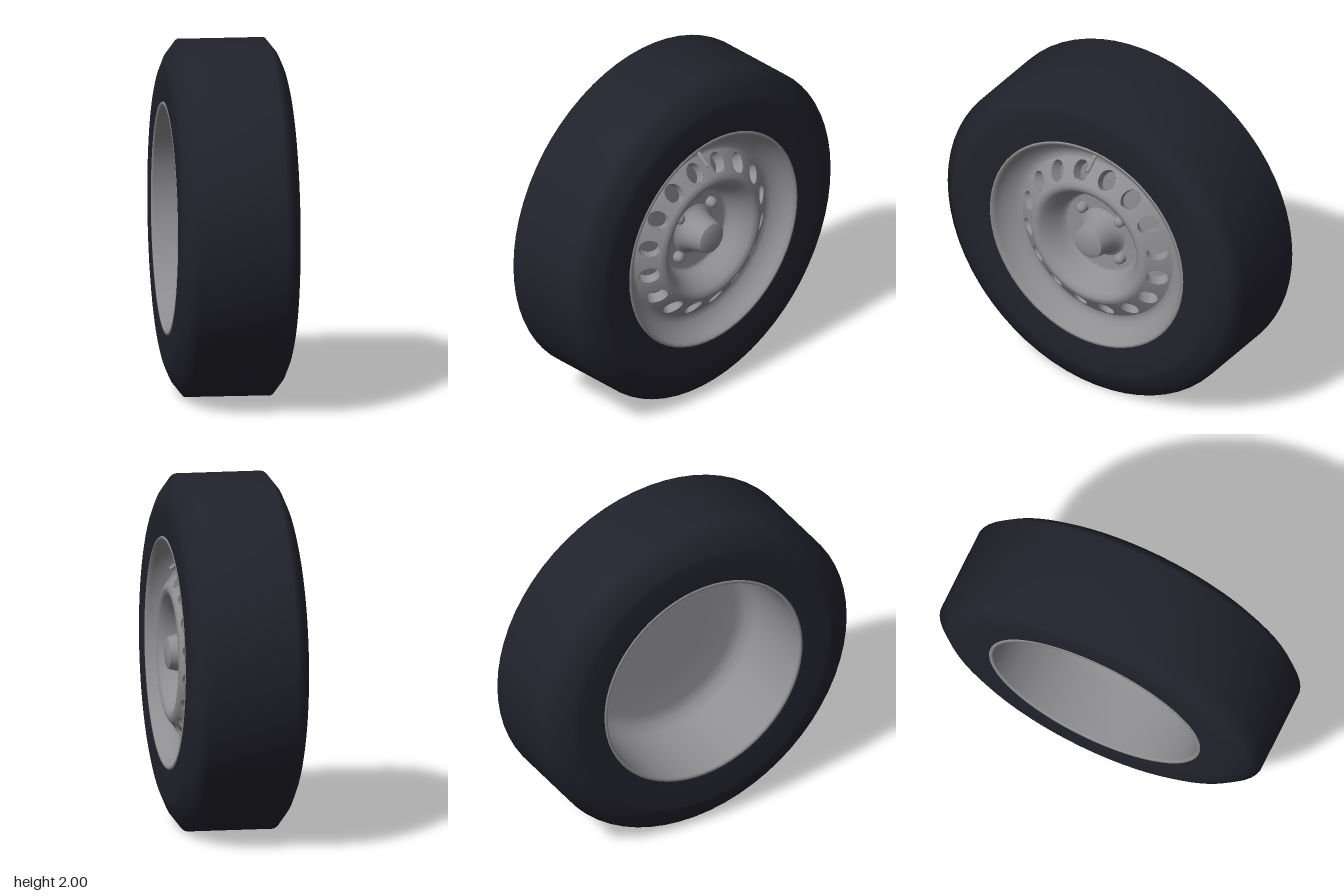
import * as THREE from 'three';

const rubber = new THREE.MeshStandardMaterial({ color: 0x22222d });
rubber.name = 'dark rubber';
const steel = new THREE.MeshStandardMaterial({ color: 0x8f8f92, side: THREE.DoubleSide });
steel.name = 'grey steel';

// Height of the sloped ring that carries the vent holes
const SLOPE = 0.75;
const ringHeight = (r) => 0.30 - (r - 0.40) * SLOPE;
const HOLES = 16, HOLE_RADIUS = 0.05, HOLE_CIRCLE = 0.444;
const holeAngle = (i) => THREE.MathUtils.degToRad(12 + (i * 360) / HOLES);

function add(parent, name, geometry, material) {
  const mesh = new THREE.Mesh(geometry, material);
  mesh.name = name;
  parent.add(mesh);
  return mesh;
}

// Turned profile of [radius, height] points, with its axis along z
function turned(points, segments = 64) {
  const g = new THREE.LatheGeometry(points.map(([r, h]) => new THREE.Vector2(r, h)), segments);
  return g.rotateX(Math.PI / 2);
}

// Flat ring with holes, raised into a cone
function ventRing() {
  const shape = new THREE.Shape().absarc(0, 0, 0.505, 0, Math.PI * 2, false);
  shape.holes.push(new THREE.Path().absarc(0, 0, 0.385, 0, Math.PI * 2, true));
  for (let i = 0; i < HOLES; i++) {
    const a = holeAngle(i);
    shape.holes.push(new THREE.Path().absarc(
      Math.sin(a) * HOLE_CIRCLE, Math.cos(a) * HOLE_CIRCLE, HOLE_RADIUS, 0, Math.PI * 2, true));
  }
  const g = new THREE.ShapeGeometry(shape, 64);
  const p = g.attributes.position, n = g.attributes.normal;
  const len = Math.hypot(1, SLOPE);
  for (let i = 0; i < p.count; i++) {
    const x = p.getX(i), y = p.getY(i), r = Math.hypot(x, y);
    p.setZ(i, ringHeight(r));
    n.setXYZ(i, (SLOPE * x) / r / len, (SLOPE * y) / r / len, 1 / len);
  }
  return g;
}

// Tube sinking from the sloped ring, square to the slope
function holeWall(a) {
  const g = new THREE.CylinderGeometry(HOLE_RADIUS, HOLE_RADIUS * 0.9, 1, 20, 1, true);
  g.rotateX(Math.PI / 2);
  const p = g.attributes.position;
  const depth = 0.05;
  for (let i = 0; i < p.count; i++) {
    const x = p.getX(i) + Math.sin(a) * HOLE_CIRCLE;
    const y = p.getY(i) + Math.cos(a) * HOLE_CIRCLE;
    const sink = p.getZ(i) < 0 ? depth : 0;
    p.setXYZ(i, x - sink * SLOPE * Math.sin(a), y - sink * SLOPE * Math.cos(a),
      ringHeight(Math.hypot(x, y)) - sink);
  }
  g.computeVertexNormals();
  return g;
}

export function createModel() {
  const model = new THREE.Group();
  model.name = 'wheel';

  // The wheel is built facing +z, then turned to face +x
  const wheel = new THREE.Group();
  wheel.name = 'wheelAssembly';
  wheel.rotation.y = Math.PI / 2;
  wheel.position.y = 1;
  model.add(wheel);

  // Tyre
  add(wheel, 'tyre', turned([
    [0.645, -0.325], [0.66, -0.335], [0.82, -0.335], [0.86, -0.325], [0.93, -0.295], [1, -0.24],
    [1, 0.24], [0.93, 0.295], [0.86, 0.325], [0.82, 0.335], [0.66, 0.335], [0.645, 0.325],
  ]), rubber);

  // Outer lip and dished rim
  add(wheel, 'rimDish', turned([
    [0.655, 0.325], [0.65, 0.335], [0.635, 0.335], [0.627, 0.31], [0.605, 0.27],
    [0.575, 0.243], [0.55, 0.225], [0.525, 0.216], [0.505, ringHeight(0.505)],
  ]), steel);

  // Ring of vent holes
  add(wheel, 'ventRing', ventRing(), steel);
  for (let i = 0; i < HOLES; i++) add(wheel, 'ventHoleWall', holeWall(holeAngle(i)), steel);

  // Crest, bowl and hub pad
  add(wheel, 'wheelCentre', turned([
    [0.385, ringHeight(0.385)], [0.37, 0.319], [0.35, 0.322], [0.325, 0.308], [0.29, 0.26],
    [0.265, 0.205], [0.25, 0.18], [0.235, 0.17], [0.1, 0.17],
  ]), steel);

  // Hub with a slightly domed cap
  add(wheel, 'hub', turned([
    [0.15, 0.17], [0.125, 0.185], [0.11, 0.23], [0.097, 0.29], [0.09, 0.318],
  ], 32), steel);
  add(wheel, 'hubCap', turned([[0.09, 0.318], [0.07, 0.327], [0.035, 0.333], [0, 0.334]], 32), steel);

  // Wheel nuts
  for (const x of [-1, 1]) for (const y of [-1, 1]) {
    const nut = add(wheel, 'wheelNut', turned([
      [0.032, 0], [0.032, 0.028], [0.026, 0.042], [0.014, 0.05], [0, 0.052],
    ], 12), steel);
    nut.position.set(x * 0.127, y * 0.125, 0.168);
  }

  // Valve stem
  const valve = add(wheel, 'valveStem', new THREE.CylinderGeometry(0.012, 0.012, 0.11, 10), steel);
  valve.position.set(-0.015, 0.505, 0.26);
  valve.rotation.x = -0.9;

  // Inner barrel, closed behind the face
  add(wheel, 'innerBarrel', turned([
    [0, 0.14], [0.3, 0.14], [0.5, 0.14], [0.56, 0.12], [0.595, 0.07], [0.61, 0],
    [0.625, -0.2], [0.632, -0.325],
  ]), steel);
  add(wheel, 'innerLip', turned([[0.632, -0.325], [0.635, -0.335], [0.65, -0.335], [0.655, -0.325]]), steel);

  return model;
}
